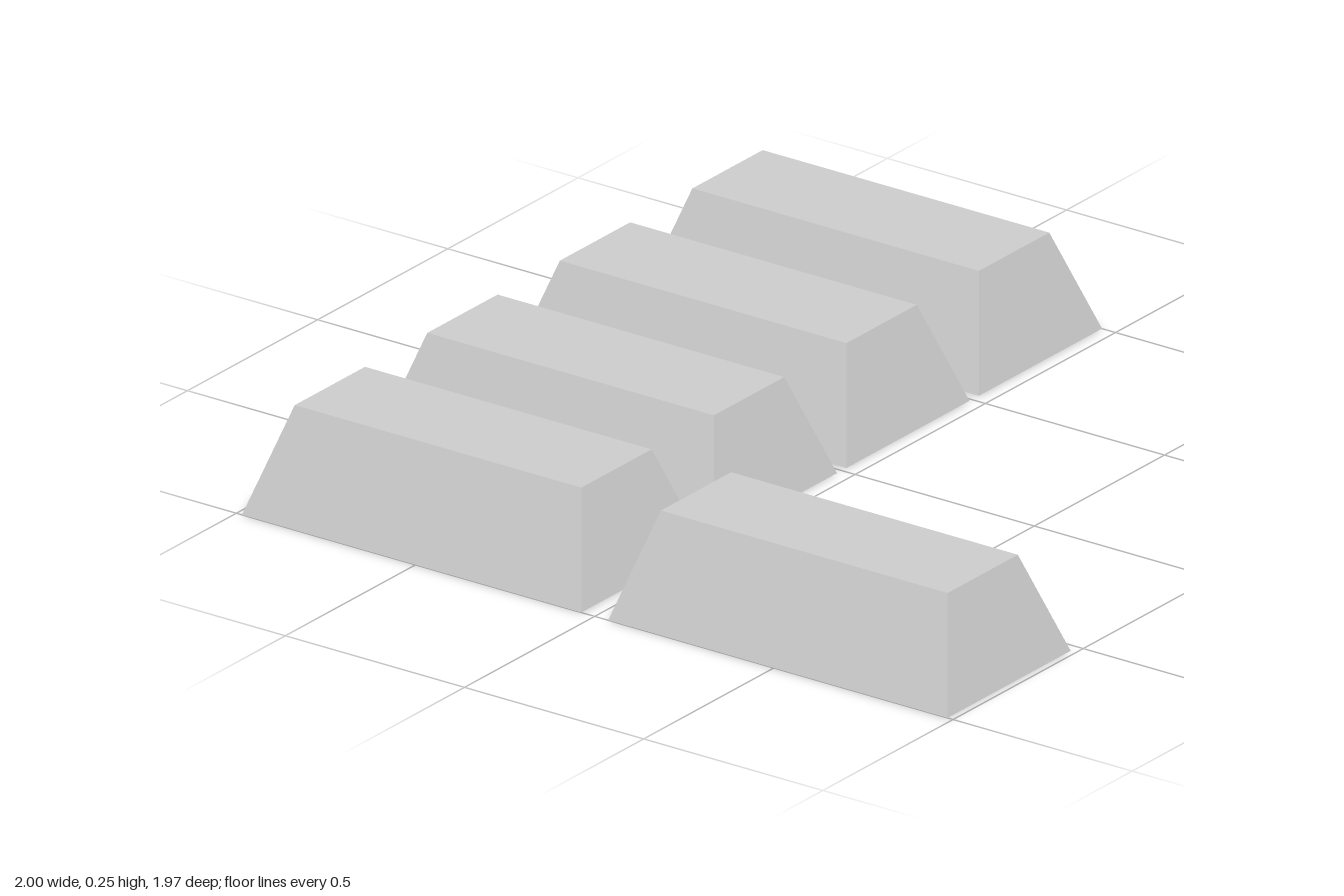
import * as THREE from 'three';

const WIDTH = 0.473, LENGTH = 0.947, HEIGHT = 0.253;
const TOP_WIDTH = 0.27, TOP_LENGTH = 0.8;
const PITCH = 0.509, ROW_Z = 0.511;

// Box whose upper corners are drawn in to make a cast ingot shape
function ingotGeometry() {
  const geometry = new THREE.BoxGeometry(WIDTH, HEIGHT, LENGTH);
  geometry.translate(0, HEIGHT / 2, 0);
  const p = geometry.attributes.position;
  for (let i = 0; i < p.count; i++) {
    if (p.getY(i) > HEIGHT / 2) {
      p.setX(i, Math.sign(p.getX(i)) * TOP_WIDTH / 2);
      p.setZ(i, Math.sign(p.getZ(i)) * TOP_LENGTH / 2);
    }
  }
  geometry.computeVertexNormals();
  return geometry;
}

export function createModel() {
  const model = new THREE.Group();
  model.name = 'ingots';
  const geometry = ingotGeometry();
  const material = new THREE.MeshStandardMaterial({ color: 0xcccccc, flatShading: true });

  const addIngot = (name, column, z) => {
    const ingot = new THREE.Mesh(geometry, material);
    ingot.name = name;
    ingot.position.set((column - 1.5) * PITCH, 0, z);
    model.add(ingot);
  };

  // Back row of four, and a single ingot in front of the first
  for (let column = 0; column < 4; column++) addIngot(`backIngot${column + 1}`, column, -ROW_Z);
  addIngot('frontIngot', 0, ROW_Z);

  return model;
}
